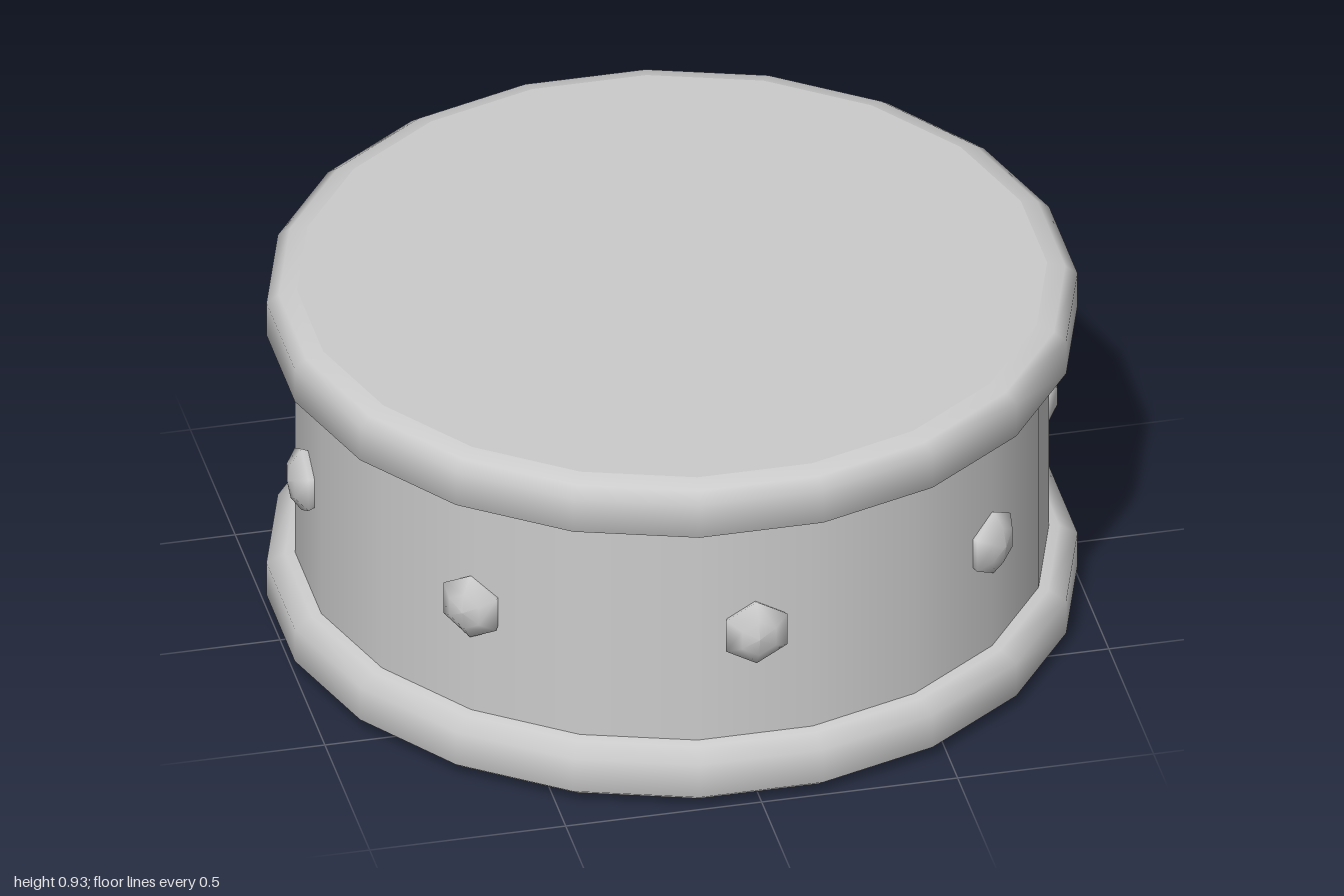
import * as THREE from 'three';

export function createModel() {
  const group = new THREE.Group();
  group.name = 'drum';
  const material = new THREE.MeshStandardMaterial({ color: 0xcccccc });
  const SIDES = 20, START = Math.PI / SIDES, HEIGHT = 0.93, MID = HEIGHT / 2;

  const add = (name, geometry, parent = group) => {
    const mesh = new THREE.Mesh(geometry, material);
    mesh.name = name;
    parent.add(mesh);
    return mesh;
  };
  const profile = (pts) => pts.map(([r, y]) => new THREE.Vector2(r, y));

  // Shell
  add('shell', new THREE.CylinderGeometry(0.94, 0.94, 0.8, SIDES, 1, true, START)).position.y = MID;

  // Rounded hoop and flat skin at each end
  const hoop = new THREE.LatheGeometry(profile([
    [0.92, 0.768], [0.965, 0.775], [1.011, 0.80], [1.011, 0.895], [0.98, 0.918], [0.935, HEIGHT],
  ]).map((p) => p.setY(p.y - MID)), SIDES, START);
  const skin = new THREE.CircleGeometry(0.935, SIDES, START).rotateX(-Math.PI / 2).translate(0, MID, 0);
  for (const end of ['top', 'bottom']) {
    const part = new THREE.Group();
    part.name = end + 'End';
    part.position.y = MID;
    if (end === 'bottom') part.rotation.x = Math.PI;
    add(end + 'Hoop', hoop, part);
    add(end + 'Skin', skin, part);
    group.add(part);
  }

  // Ring of eight six-sided domed studs
  const stud = new THREE.LatheGeometry(profile([
    [0.07, 0.90], [0.09, 0.945], [0.05, 0.973], [0, 0.982],
  ]), 6).rotateX(Math.PI / 2);
  for (let i = 0; i < 8; i++) {
    const mesh = add('stud' + (i + 1), stud);
    mesh.position.y = MID;
    mesh.rotation.y = (i * Math.PI) / 4;
  }
  return group;
}
